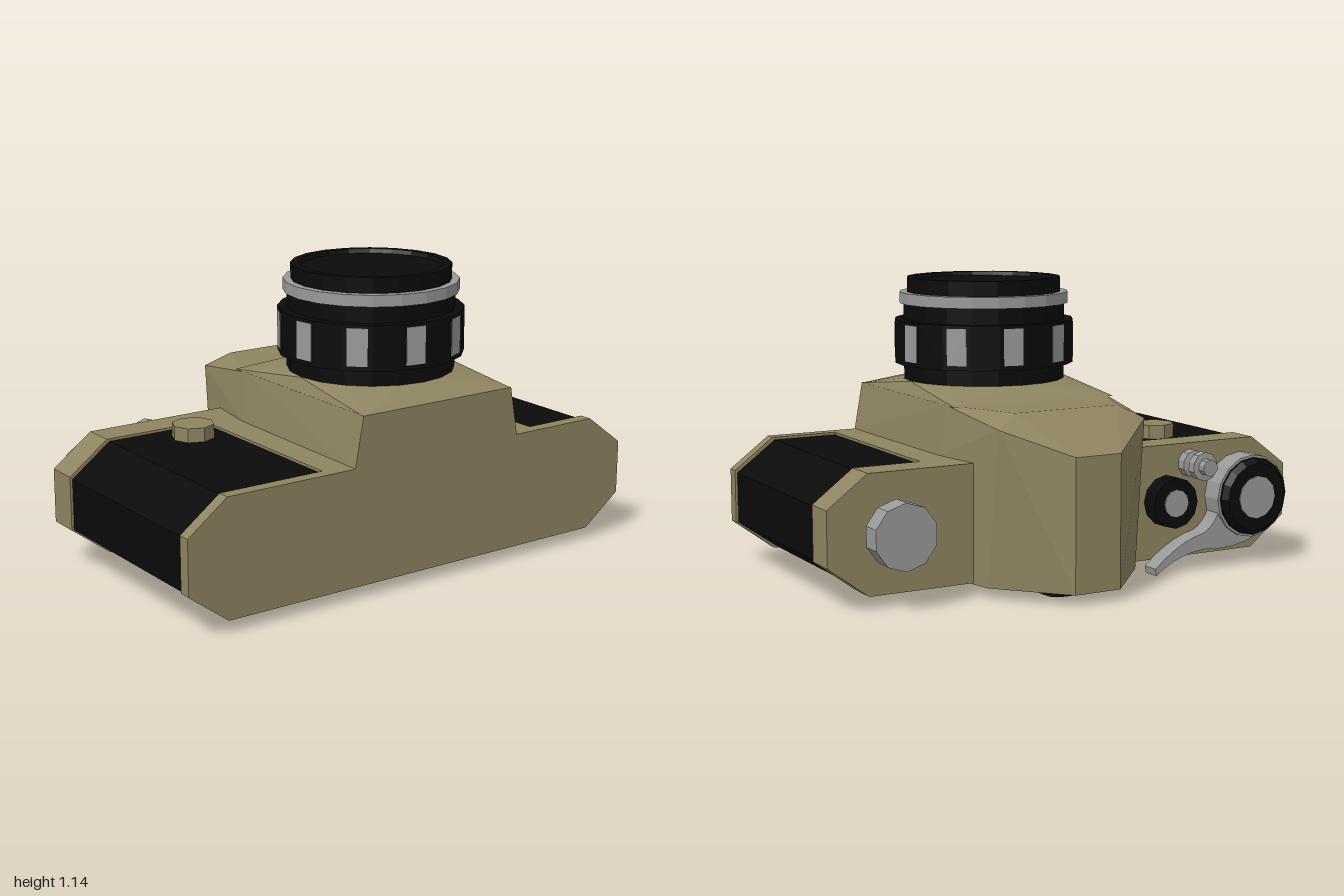
import * as THREE from 'three';
import { ConvexGeometry } from 'three/addons/geometries/ConvexGeometry.js';

const mat = (color) => new THREE.MeshStandardMaterial({ color, flatShading: true, side: THREE.DoubleSide });

export function createModel() {
  const model = new THREE.Group();
  const olive = mat(0x8e8460), black = mat(0x0a0a0a), silver = mat(0x999999);
  const lensX = 0.08, lensZ = 0.23;

  const add = (name, geometry, material, x = 0, y = 0, z = 0) => {
    const mesh = new THREE.Mesh(geometry, material);
    mesh.name = name;
    mesh.position.set(x, y, z);
    model.add(mesh);
    return mesh;
  };
  const lathe = (profile, sides) =>
    new THREE.LatheGeometry(profile.map(([r, h]) => new THREE.Vector2(r, h)), sides);
  // Turned part standing on the rear (-z) face; heights run outward from z = 0
  const knob = (name, profile, material, x, y, sides = 12) => {
    add(name, lathe(profile, sides), material, x, y).rotation.x = -Math.PI / 2;
  };
  const slab = (points, z0, z1) => {
    const shape = new THREE.Shape(points.map(([x, y]) => new THREE.Vector2(x, y)));
    return new THREE.ExtrudeGeometry(shape, { depth: z1 - z0, bevelEnabled: false }).translate(0, 0, z0);
  };
  // Convex solid from points mirrored about x = 0
  const mirroredHull = (points) => new ConvexGeometry(points.flatMap(([x, y, z]) =>
    [new THREE.Vector3(x, y, z), new THREE.Vector3(-x, y, z)]));

  // Body: two chamfered bands with the inset covering between them
  const octagon = (w, y0, y1) => [
    [-w + 0.16, y0], [w - 0.16, y0], [w, 0.17], [w, y1 - 0.12],
    [w - 0.16, y1], [-w + 0.16, y1], [-w, y1 - 0.12], [-w, 0.17]];
  add('topBand', slab(octagon(1, 0.05, 0.5), -0.32, -0.19), olive);
  add('baseBand', slab(octagon(1, 0.05, 0.5), 0.6, 0.65), olive);
  add('bodyCovering', slab(octagon(0.99, 0.055, 0.49), -0.19, 0.6), black);
  add('frontPanel', new THREE.BoxGeometry(0.98, 0.2, 0.79), olive, lensX, 0.4, 0.205);
  add('backDoor', mirroredHull([
    [0.8, 0.06, 0.6], [0.8, 0.06, -0.19], [0.63, 0.027, 0.46], [0.63, 0.027, -0.07]]), black);

  // Prism housing running over the front and out past the top band
  add('prismHousing', mirroredHull([
    [0.38, 0.3, 0.65], [0.38, 0.5, 0.65], [0.345, 0.69, 0.65],
    [0.37, 0.3, -0.1], [0.37, 0.5, -0.1], [0.345, 0.69, -0.12],
    [0.22, 0.69, -0.42], [0.31, 0.64, -0.47], [0.31, 0.35, -0.44], [0.32, 0.045, -0.4],
    [0.34, 0.045, -0.31], [0.095, 0.55, -0.65], [0.095, 0.045, -0.65]]), olive, lensX);

  // Eyepiece: rounded frame under the housing with a recessed window
  const roundedRect = (Path, w, h, r) => new Path()
    .moveTo(-w + r, -h).lineTo(w - r, -h).quadraticCurveTo(w, -h, w, -h + r)
    .lineTo(w, h - r).quadraticCurveTo(w, h, w - r, h)
    .lineTo(-w + r, h).quadraticCurveTo(-w, h, -w, h - r)
    .lineTo(-w, -h + r).quadraticCurveTo(-w, -h, -w + r, -h);
  const frame = roundedRect(THREE.Shape, 0.14, 0.11, 0.06);
  frame.holes.push(roundedRect(THREE.Path, 0.1, 0.07, 0.03));
  add('eyepieceFrame', new THREE.ExtrudeGeometry(frame, { depth: 0.035, bevelEnabled: false, curveSegments: 3 })
    .rotateX(Math.PI / 2), black, lensX, 0.055, -0.45);
  add('eyepieceWindow', new THREE.BoxGeometry(0.22, 0.02, 0.16), black, lensX, 0.045, -0.45);

  // Lens mount: rectangle blending into the round barrel
  const mountPoints = [];
  for (const sx of [-1, 1]) for (const sz of [-1, 1])
    mountPoints.push(new THREE.Vector3(sx * 0.345, 0.688, sz * 0.42));
  for (let i = 0; i < 20; i++) {
    const a = i * Math.PI / 10;
    mountPoints.push(new THREE.Vector3(0.325 * Math.sin(a), 0.74, 0.325 * Math.cos(a)));
  }
  add('lensMount', new ConvexGeometry(mountPoints), olive, lensX, 0, lensZ);

  // Lens barrel, grip ring, silver ring and recessed front
  const lensPart = (name, profile, material) => add(name, lathe(profile, 20), material, lensX, 0, lensZ);
  lensPart('lensBarrel', [[0.32, 0.73], [0.32, 1.05]], black);
  lensPart('gripRing', [[0.32, 0.803], [0.355, 0.803], [0.355, 0.975], [0.32, 0.975]], black);
  lensPart('silverRing', [[0.3, 1.038], [0.335, 1.038], [0.335, 1.082], [0.3, 1.082]], silver);
  lensPart('lensFront', [[0.305, 1.07], [0.305, 1.14], [0.275, 1.14], [0.265, 1.125], [0, 1.125]], black);
  for (let i = 0; i < 10; i++) {
    const a = (-9 + 36 * i) * Math.PI / 180;
    const pad = add('gripPad', new THREE.BoxGeometry(0.078, 0.142, 0.01), silver,
      lensX + 0.348 * Math.sin(a), 0.892, lensZ + 0.348 * Math.cos(a));
    pad.rotation.y = a;
  }

  // Button on the front covering
  add('frontButton', new THREE.CylinderGeometry(0.082, 0.082, 0.065, 8), olive, -0.54, 0.512, -0.06);

  // Rewind knob
  knob('rewindStem', [[0.097, 0.31], [0.097, 0.365]], black, 0.745, 0.28);
  knob('rewindKnob', [[0, 0.355], [0.125, 0.355], [0.125, 0.44], [0, 0.44]], silver, 0.745, 0.28, 10);

  // Advance dial and its curved lever
  knob('advanceDial', [[0.165, 0.31], [0.165, 0.41], [0, 0.415]], silver, -0.78, 0.28, 16);
  knob('advanceDialRing', [[0.155, 0.405], [0.155, 0.42], [0.135, 0.442], [0, 0.442]], black, -0.78, 0.28, 16);
  knob('advanceDialCap', [[0.085, 0.44], [0.085, 0.446], [0, 0.446]], silver, -0.78, 0.28, 12);
  const lever = new THREE.Shape()
    .moveTo(-0.88, 0.15)
    .quadraticCurveTo(-0.74, 0.06, -0.56, 0.085)
    .quadraticCurveTo(-0.43, 0.075, -0.34, 0.002)
    .lineTo(-0.335, 0.03)
    .quadraticCurveTo(-0.45, 0.13, -0.56, 0.15)
    .quadraticCurveTo(-0.62, 0.18, -0.64, 0.26)
    .lineTo(-0.78, 0.28);
  add('advanceLever', new THREE.ExtrudeGeometry(lever, { depth: 0.075, bevelEnabled: false, curveSegments: 5 }),
    silver, 0, 0, -0.397);

  // Speed dial and shutter button
  knob('speedDial', [[0.1, 0.31], [0.1, 0.395], [0, 0.395]], black, -0.43, 0.28);
  knob('speedDialCap', [[0.055, 0.39], [0.055, 0.4], [0, 0.4]], silver, -0.43, 0.28);
  knob('shutterButton', [[0.055, 0.31], [0.055, 0.36], [0.035, 0.365], [0.035, 0.39], [0.057, 0.395],
    [0.057, 0.43], [0.033, 0.432], [0.033, 0.465], [0, 0.465]], silver, -0.54, 0.42, 10);

  return model;
}
